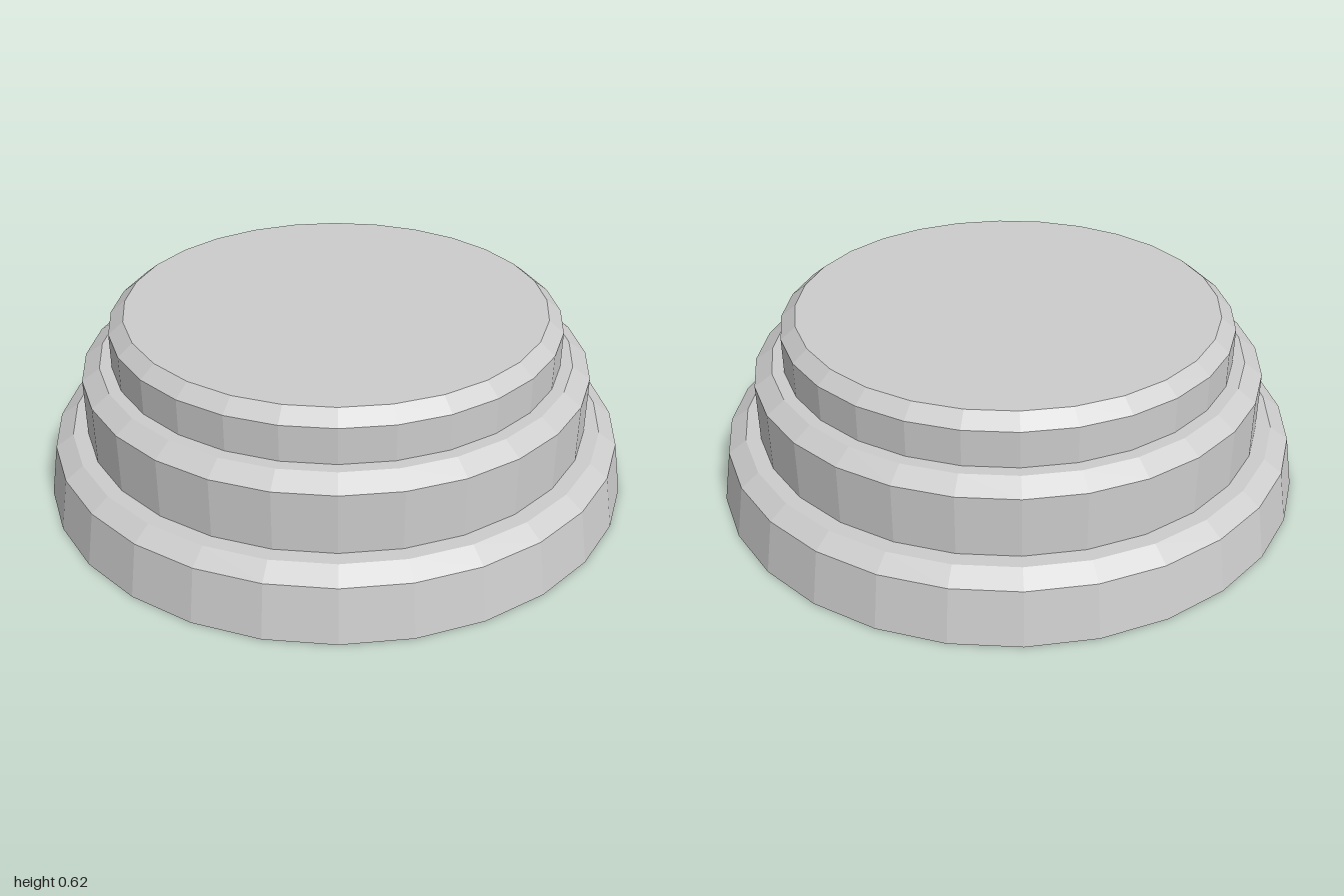
import * as THREE from 'three';

const SIDES = 28;

export function createModel() {
  const model = new THREE.Group();
  model.name = 'steppedPedestal';

  const stone = new THREE.MeshStandardMaterial({ color: 0xcccccc, flatShading: true });
  stone.name = 'light grey stone';

  // Each tier is an outline of [radius, height] points from bottom to top
  const addTier = (name, outline) => {
    const points = outline.map(([r, y]) => new THREE.Vector2(r, y));
    const mesh = new THREE.Mesh(new THREE.LatheGeometry(points, SIDES), stone);
    mesh.name = name;
    model.add(mesh);
  };

  // Tapered, closed foot with a bevelled rim and a ledge
  addTier('baseTier', [[0, 0], [1, 0], [0.97, 0.18], [0.91, 0.22], [0.86, 0.22]]);
  // Straight drum with a bevelled rim and a ledge
  addTier('middleTier', [[0.86, 0.22], [0.86, 0.42], [0.8, 0.46], [0.76, 0.46]]);
  // Bevelled platform with a flat top
  addTier('topTier', [[0.76, 0.46], [0.76, 0.58], [0.71, 0.62], [0, 0.62]]);

  return model;
}
